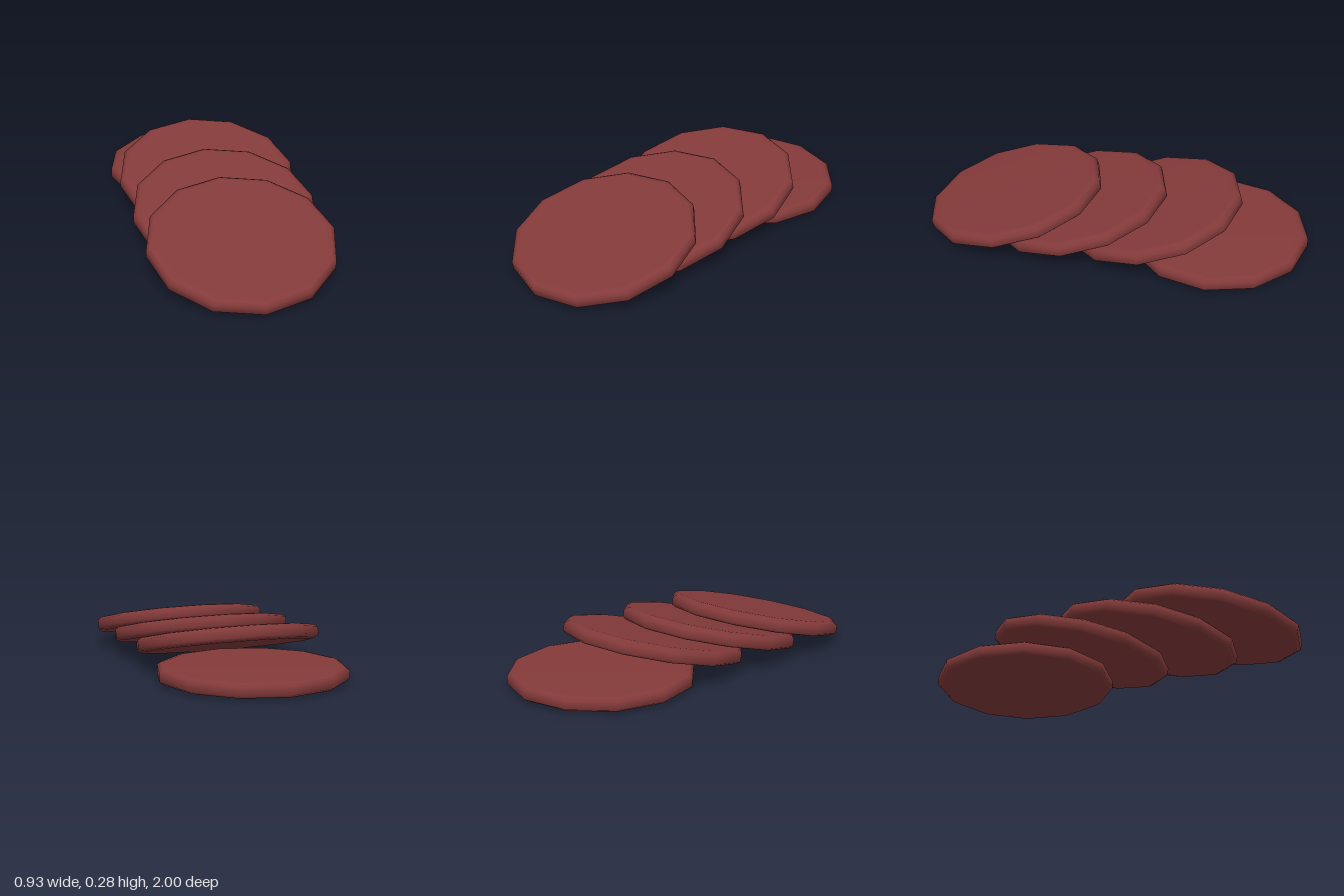
import * as THREE from 'three';

export function createModel() {
  const group = new THREE.Group();
  const red = new THREE.MeshStandardMaterial({ color: 0x843a3a });
  red.name = 'dark red';

  // Twelve-sided slice with softly bevelled rims
  const profile = [
    [0, -0.038], [0.42, -0.038], [0.447, -0.033], [0.467, -0.02],
    [0.467, 0.02], [0.447, 0.033], [0.42, 0.038], [0, 0.038],
  ].map(([r, y]) => new THREE.Vector2(r, y));
  const sliceGeometry = new THREE.LatheGeometry(profile, 12);

  // Back slice lies flat, the others lean on it like fallen dominoes
  const slices = [
    ['flatSlice', 0.047, -0.533, 0],
    ['backLeaningSlice', 0.15, -0.195, 0.237],
    ['middleLeaningSlice', 0.144, 0.194, 0.235],
    ['frontLeaningSlice', 0.145, 0.54, 0.236],
  ];
  for (const [name, y, z, tilt] of slices) {
    const slice = new THREE.Mesh(sliceGeometry, red);
    slice.name = name;
    slice.position.set(0, y, z);
    slice.rotation.x = tilt;
    group.add(slice);
  }
  return group;
}
